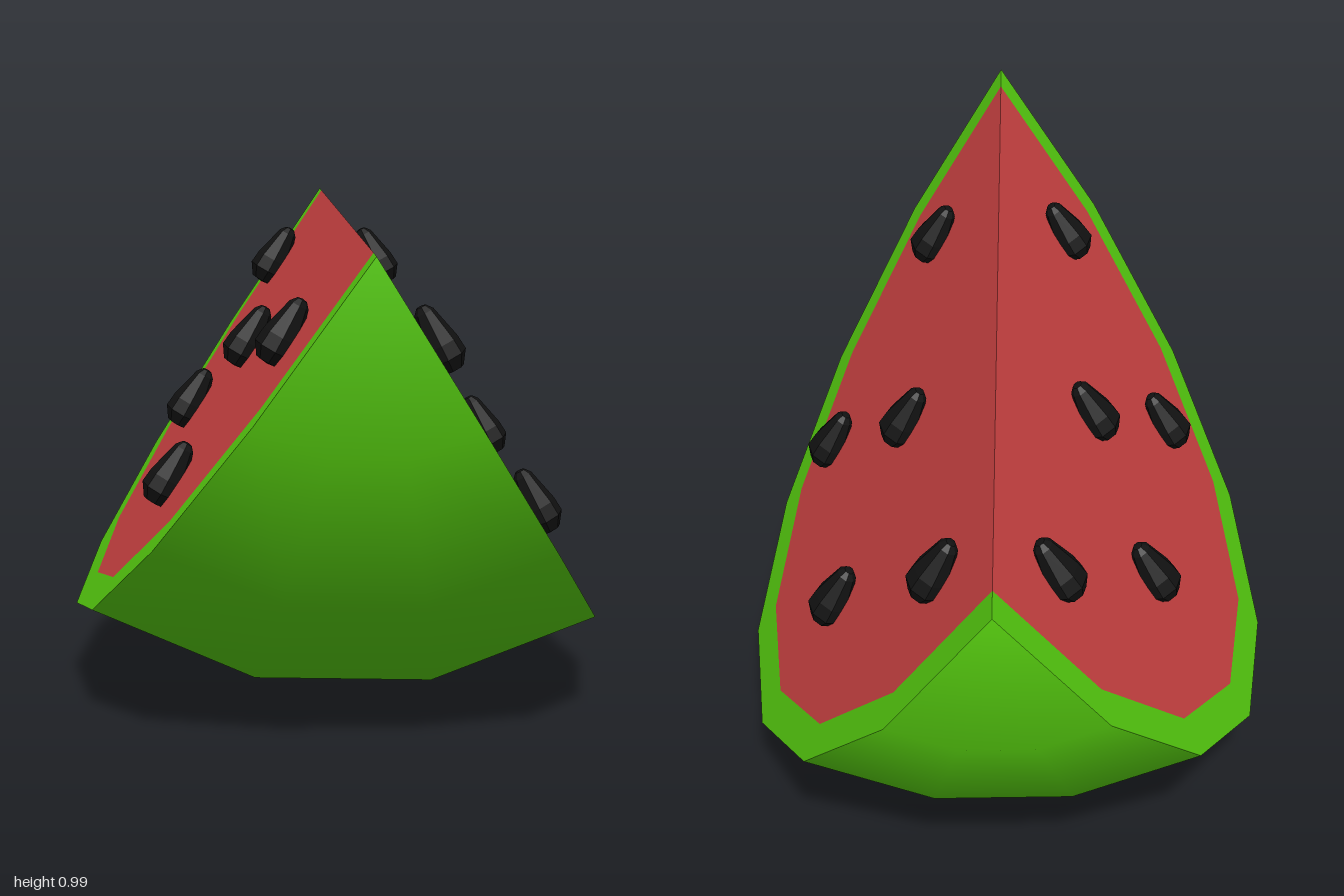
import * as THREE from 'three';

const APEX = new THREE.Vector3(0.02, 0.99, 0);
const FLESH_RADIUS = 0.92;
const ARC_STEPS = 8;
const LEFT_ANGLE = THREE.MathUtils.degToRad(31.9);
const RIGHT_ANGLE = THREE.MathUtils.degToRad(-34.8);

const rindMaterial = new THREE.MeshStandardMaterial({ color: 0x58d010 });
const fleshMaterial = new THREE.MeshStandardMaterial({ color: 0xd04444 });
const seedMaterial = new THREE.MeshStandardMaterial({ color: 0x111111, flatShading: true });

// Seeds as [z, distance from the top edge along the cut]
const LEFT_SEEDS = [[-0.68, 0.177], [-0.32, 0.59], [0, 0.33], [0.32, 0.668], [0.6, 0.24]];
const RIGHT_SEEDS = [[-0.68, 0.18], [-0.32, 0.53], [0, 0.32], [0.31, 0.616], [0.59, 0.23]];

function addMesh(parent, name, geometry, material) {
  const mesh = new THREE.Mesh(geometry, material);
  mesh.name = name;
  parent.add(mesh);
  return mesh;
}

// Points of a faceted half circle
function arc(radius) {
  return Array.from({ length: ARC_STEPS + 1 }, (_, i) => {
    const t = (i / ARC_STEPS) * Math.PI;
    return new THREE.Vector2(radius * Math.cos(t), radius * Math.sin(t));
  });
}

// Teardrop seed with its narrow tip up
function seedGeometry() {
  const profile = [[0, -0.07], [0.03, -0.066], [0.05, -0.04], [0.046, -0.01], [0.024, 0.058], [0.012, 0.07], [0, 0.072]];
  const geometry = new THREE.LatheGeometry(profile.map(([r, y]) => new THREE.Vector2(r, y)), 8);
  return geometry.scale(1, 1, 0.85);
}

// One cut side: local y runs down the cut, local z points out of it
function cutFace(name, angle, side, seeds) {
  const face = new THREE.Group();
  face.name = name;
  const down = new THREE.Vector3(Math.sin(angle), -Math.cos(angle), 0);
  const out = new THREE.Vector3(Math.cos(angle), Math.sin(angle), 0).multiplyScalar(side);
  const along = new THREE.Vector3().crossVectors(down, out);
  face.quaternion.setFromRotationMatrix(new THREE.Matrix4().makeBasis(along, down, out));
  face.position.copy(APEX);

  addMesh(face, 'flesh', new THREE.ShapeGeometry(new THREE.Shape(arc(FLESH_RADIUS))), fleshMaterial);
  const rim = new THREE.Shape([...arc(1), ...arc(FLESH_RADIUS).reverse()]);
  addMesh(face, 'rindEdge', new THREE.ShapeGeometry(rim), rindMaterial);

  const geometry = seedGeometry();
  for (const [z, distance] of seeds) {
    const seed = addMesh(face, 'seed', geometry, seedMaterial);
    seed.position.set(z * side, distance, 0.02);
    seed.rotation.set(-0.1, 0, Math.PI);
  }
  return face;
}

export function createModel() {
  const model = new THREE.Group();
  model.name = 'melonSlice';

  // Smooth outer rind: a wedge of a coarse sphere with its poles along z
  const skin = new THREE.SphereGeometry(
    1, 3, ARC_STEPS, Math.PI / 2 + RIGHT_ANGLE, LEFT_ANGLE - RIGHT_ANGLE
  ).rotateX(Math.PI / 2);
  addMesh(model, 'rind', skin, rindMaterial).position.copy(APEX);

  model.add(cutFace('leftCut', LEFT_ANGLE, 1, LEFT_SEEDS));
  model.add(cutFace('rightCut', RIGHT_ANGLE, -1, RIGHT_SEEDS));
  return model;
}
